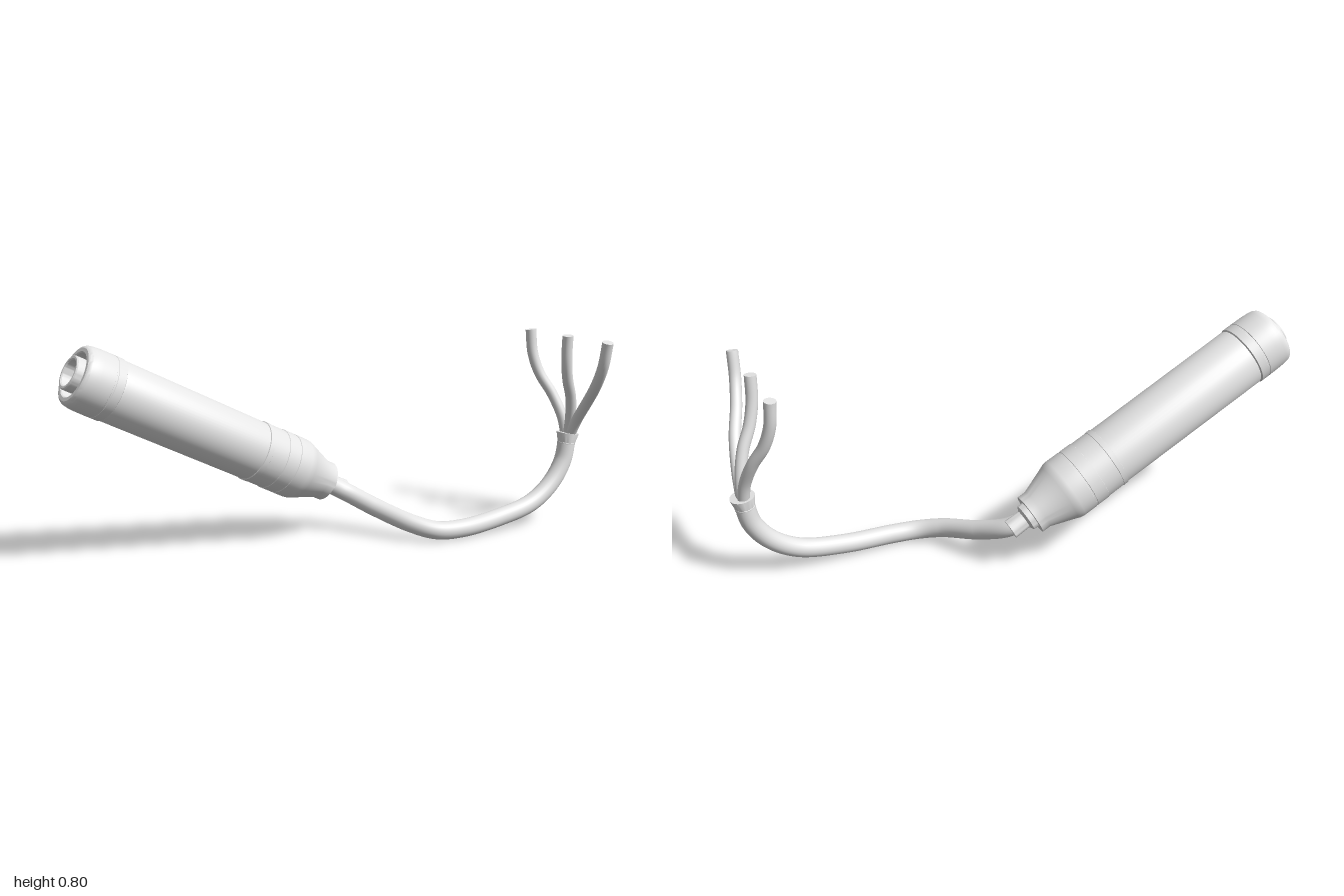
import * as THREE from 'three';
import { toCreasedNormals } from 'three/addons/utils/BufferGeometryUtils.js';

const V = (x, y, z) => new THREE.Vector3(x, y, z);

export function createModel() {
  const model = new THREE.Group();
  const grey = new THREE.MeshStandardMaterial({ color: 0xe5e5e5 });
  grey.name = 'lightGrey';

  const add = (name, geometry, parent = model) => {
    const mesh = new THREE.Mesh(geometry, grey);
    mesh.name = name;
    parent.add(mesh);
    return mesh;
  };

  // Turned part from [radius, position along the axis] pairs, edges kept sharp
  const turned = (profile, sides = 64) => toCreasedNormals(
    new THREE.LatheGeometry(profile.map(([r, t]) => new THREE.Vector2(r, t)), sides), 0.5);

  // Round cable with a flat end
  const cable = (name, points, radius, segments) => {
    const curve = new THREE.CatmullRomCurve3(points);
    add(name, new THREE.TubeGeometry(curve, segments, radius, 24));
    const end = add(name + 'End', new THREE.CircleGeometry(radius, 24));
    end.position.copy(curve.getPoint(1));
    end.quaternion.setFromUnitVectors(V(0, 0, 1), curve.getTangent(1));
  };

  // Tilted handle: local y runs from the open cap down to the cable outlet
  const handle = new THREE.Group();
  handle.name = 'handle';
  handle.position.set(-0.95, 0.713, -0.284);
  handle.quaternion.setFromUnitVectors(V(0, 1, 0), V(0.965, -0.502, 0.02).normalize());
  model.add(handle);

  // Inner socket tube standing proud of the cap
  add('socket', turned([
    [0, 0.06], [0.047, 0.06], [0.047, -0.018], [0.051, -0.022],
    [0.058, -0.022], [0.062, -0.018], [0.062, 0.06],
  ]), handle);

  // Rounded cap with a recess around the socket
  add('cap', turned([
    [0.055, 0.05], [0.08, 0.05], [0.08, 0.002], [0.084, -0.002], [0.097, -0.002],
    [0.104, 0.002], [0.109, 0.01], [0.112, 0.025], [0.114, 0.05],
    [0.115, 0.1], [0.1135, 0.101], [0.1135, 0.107], [0.115, 0.108],
    [0.115, 0.138], [0.112, 0.14], [0.1, 0.146],
  ]), handle);

  // Main barrel
  add('barrel', turned([[0.108, 0.138], [0.112, 0.148], [0.112, 0.76]]), handle);

  // Raised sleeve with shallow ring steps, tapering to the outlet
  add('sleeve', turned([
    [0.11, 0.748], [0.1155, 0.75], [0.1155, 0.769], [0.114, 0.77],
    [0.1145, 0.837], [0.1165, 0.838], [0.1165, 0.885], [0.115, 0.886],
    [0.115, 0.891], [0.117, 0.892], [0.117, 0.945], [0.115, 0.96],
    [0.11, 0.972], [0.075, 1.068], [0.075, 1.1], [0.052, 1.1], [0.052, 1.09], [0, 1.09],
  ]), handle);

  // Short outlet stub
  add('outletStub', turned([
    [0.05, 1.08], [0.05, 1.12], [0.034, 1.128], [0.036, 1.188], [0, 1.188],
  ], 32), handle);

  // Main cable
  cable('mainCable', [
    V(0.03, 0.2, -0.265), V(0.1, 0.158, -0.235), V(0.17, 0.109, -0.135),
    V(0.25, 0.063, 0), V(0.32, 0.041, 0.06), V(0.42, 0.037, 0.083),
    V(0.6, 0.05, 0.083), V(0.77, 0.085, 0.083), V(0.87, 0.15, 0.083),
    V(0.93, 0.235, 0.083), V(0.95, 0.325, 0.083),
  ], 0.035, 120);

  // Flared collar where the cable splits
  const collar = add('collar', turned([
    [0.03, -0.026], [0.036, -0.026], [0.036, -0.02], [0.035, -0.019],
    [0.044, 0.018], [0.044, 0.02], [0, 0.02],
  ], 32));
  collar.position.set(0.95, 0.328, 0.083);
  collar.rotation.z = -0.14;

  // Three wires fanning out, sharing one side profile
  const rise = [[0.952, 0.33], [0.945, 0.41], [0.922, 0.5], [0.886, 0.58], [0.866, 0.66], [0.86, 0.754]];
  const spread = {
    leadFront: [0.092, 0.14, 0.22, 0.3, 0.352, 0.377],
    leadMiddle: [0.085, 0.103, 0.125, 0.142, 0.154, 0.162],
    leadBack: [0.075, 0.055, 0.015, -0.022, -0.043, -0.052],
  };
  for (const [name, zs] of Object.entries(spread)) {
    cable(name, rise.map(([x, y], i) => V(x, y, zs[i])), 0.021, 48);
  }

  return model;
}
